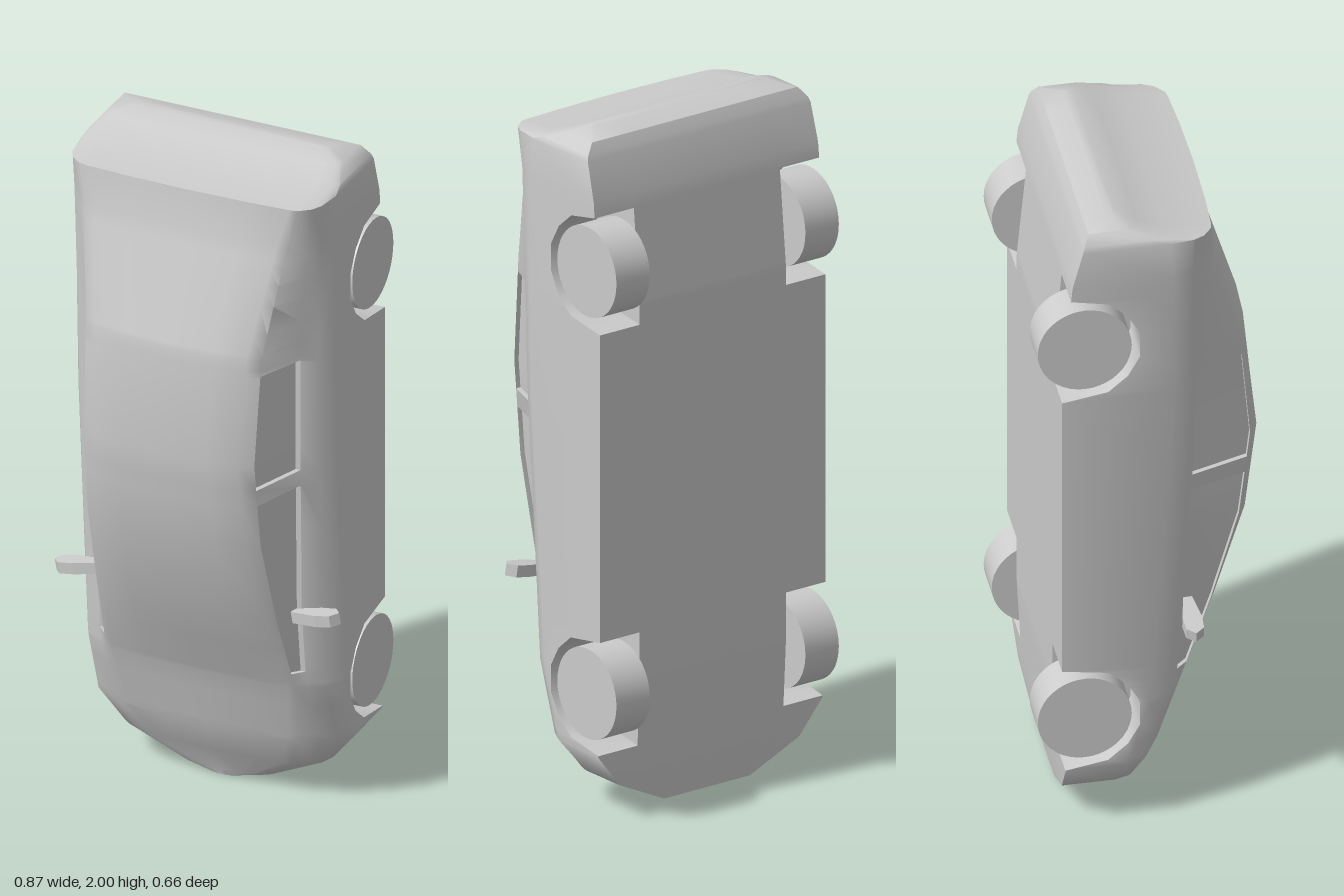
import * as THREE from 'three';
import { toCreasedNormals } from 'three/addons/utils/BufferGeometryUtils.js';

// Car posed nose-down: length runs along y (nose at 0), roof faces +z.
const WHEELS_Y = [0.372, 1.612], WHEEL_Z = -0.2;

// y, roof centre z, roof edge x z, beltline x z, widest side x z, floor z
const SECTIONS = [
  [0.0, -0.05, 0.02, -0.052, 0.04, -0.06, 0.05, -0.09, -0.165],
  [0.02, -0.045, 0.09, -0.05, 0.13, -0.065, 0.15, -0.1, -0.24],
  [0.1, 0, 0.2, -0.012, 0.28, -0.04, 0.315, -0.1, -0.25],
  [0.2, 0.05, 0.24, 0.03, 0.32, 0, 0.393, -0.08, -0.255],
  [0.4, 0.105, 0.27, 0.09, 0.315, 0.07, 0.395, -0.02, -0.265],
  [0.65, 0.215, 0.25, 0.19, 0.31, 0.09, 0.395, 0, -0.265],
  [0.915, 0.3, 0.23, 0.28, 0.315, 0.105, 0.395, 0.02, -0.265],
  [1.18, 0.33, 0.22, 0.315, 0.32, 0.12, 0.395, 0.04, -0.265],
  [1.5, 0.3, 0.23, 0.28, 0.325, 0.13, 0.395, 0.05, -0.265],
  [1.825, 0.2, 0.28, 0.185, 0.35, 0.13, 0.393, 0.05, -0.235],
  [1.935, 0.18, 0.31, 0.17, 0.365, 0.14, 0.39, 0.04, -0.205],
  [1.95, 0.04, 0.33, 0.035, 0.36, 0.02, 0.385, 0, -0.2],
  [1.98, -0.04, 0.32, -0.045, 0.345, -0.055, 0.36, -0.08, -0.185],
  [2.0, -0.1, 0.27, -0.1, 0.29, -0.1, 0.3, -0.105, -0.125],
];
// Wheel arch outline: distance from the wheel centre along y, then z
const ARCH = [[0.04, -0.046], [0.1, -0.08], [0.147, -0.135], [0.168, -0.262]];
const WINDOWS = [[0.45, 1.05], [1.1, 1.45]];

const mix = THREE.MathUtils.lerp;

function sectionAt(y) {
  let k = 0;
  while (k < SECTIONS.length - 2 && y > SECTIONS[k + 1][0]) k++;
  const a = SECTIONS[k], b = SECTIONS[k + 1], t = (y - a[0]) / (b[0] - a[0]);
  return a.map((v, i) => mix(v, b[i], t));
}

// Lower edge of the side skin, raised over the wheels
function sideBottom(y, floor) {
  for (const w of WHEELS_Y) {
    const d = Math.abs(y - w);
    if (d <= ARCH[0][0]) return ARCH[0][1];
    for (let i = 0; i < ARCH.length - 1; i++) {
      const [d0, z0] = ARCH[i], [d1, z1] = ARCH[i + 1];
      if (d < d1 - 1e-6) return mix(z0, z1, (d - d0) / (d1 - d0));
    }
  }
  return floor;
}

// Closed ring: roof centre, down the left side, floor centre, up the right side
function ringAt(y) {
  const [, zc, x2, z2, x4, z4, x6, z6, zb] = sectionAt(y);
  const zs = sideBottom(y, zb), xi = Math.min(0.257, x6 * 0.65);
  const half = [
    [0, zc],
    [x2 * 0.6, mix(zc, z2, 0.35)],
    [x2, z2],
    [mix(x2, x4, 0.4), mix(z2, z4, 0.13)],
    [x4, z4],
    [mix(x4, x6, 0.6), mix(z4, z6, 0.3)],
    [x6, z6],
    [x6, zs],
    [xi, zs],
    [xi, zb],
    [0, zb],
  ];
  const mirrored = half.slice(1, -1).reverse().map(([x, z]) => [-x, z]);
  return [...half, ...mirrored].map(([x, z]) => new THREE.Vector3(x, y, z));
}

// Triangle soup with creased smooth normals
class Skin {
  constructor() { this.pos = []; }
  tri(a, b, c) {
    const n = b.clone().sub(a).cross(c.clone().sub(a));
    if (n.length() > 1e-9) for (const p of [a, b, c]) this.pos.push(p.x, p.y, p.z);
  }
  quad(a, b, c, d) { this.tri(a, b, c); this.tri(c, b, d); }
  mesh(name, crease, material) {
    const g = new THREE.BufferGeometry();
    g.setAttribute('position', new THREE.Float32BufferAttribute(this.pos, 3));
    const m = new THREE.Mesh(toCreasedNormals(g, crease), material);
    m.name = name;
    return m;
  }
}

export function createModel() {
  const car = new THREE.Group();
  car.name = 'car';
  const grey = new THREE.MeshStandardMaterial({ color: 0xcccccc });
  const thin = new THREE.MeshStandardMaterial({ color: 0xcccccc, side: THREE.DoubleSide });

  // Stations along the car: sections, window ends and wheel arch points
  const ys = [...SECTIONS.map((s) => s[0]), ...WINDOWS.flat()];
  for (const w of WHEELS_Y) for (const [d] of ARCH) ys.push(w - d, w + d);
  ys.sort((a, b) => a - b);
  const rings = ys.map(ringAt), n = rings[0].length;

  // Body shell, with recessed side windows
  const body = new Skin(), glass = new Skin();
  const inset = (p) => new THREE.Vector3(p.x - Math.sign(p.x) * 0.015, p.y, p.z);
  for (let i = 0; i < ys.length - 1; i++) {
    const win = WINDOWS.find(([a, b]) => ys[i] >= a && ys[i + 1] <= b);
    for (let j = 0; j < n; j++) {
      const k = (j + 1) % n;
      const q = [rings[i][j], rings[i][k], rings[i + 1][j], rings[i + 1][k]];
      if (win && (j === 3 || j === n - 4)) {
        const [a, b, c, d] = q, [e, f, g, h] = q.map(inset);
        glass.quad(e, f, g, h);
        glass.quad(a, e, c, g);
        glass.quad(f, b, h, d);
        if (ys[i] === win[0]) glass.quad(a, b, e, f);
        if (ys[i + 1] === win[1]) glass.quad(g, h, c, d);
      } else body.quad(...q);
    }
  }
  // Small caps closing nose and tail
  for (const ring of [rings[0].slice().reverse(), rings[rings.length - 1]]) {
    const mid = new THREE.Vector3(0, ring[0].y, (ring[0].z + ring[10].z) / 2);
    ring.forEach((p, j) => body.tri(mid, p, ring[(j + 1) % n]));
  }
  car.add(body.mesh('body', 0.75, grey), glass.mesh('sideWindows', 0.4, thin));

  // Wheels
  const wheelGeo = toCreasedNormals(
    new THREE.CylinderGeometry(0.132, 0.132, 0.117, 40).rotateZ(Math.PI / 2), 0.6);
  // Door mirror outline in x and z, extruded along y
  const outline = [[0.29, 0.09], [0.37, 0.078], [0.415, 0.08], [0.435, 0.105],
    [0.415, 0.13], [0.37, 0.132], [0.29, 0.115]];
  const mirrorShape = new THREE.Shape(outline.map(([x, z]) => new THREE.Vector2(x - 0.36, z - 0.105)));
  const mirrorGeo = new THREE.ExtrudeGeometry(mirrorShape, { depth: 0.034, bevelEnabled: false });
  mirrorGeo.translate(0, 0, -0.017).rotateX(Math.PI / 2);
  // Extrusion turned so its outline lies in the x-z plane
  for (const side of [1, -1]) {
    const label = side > 0 ? 'left' : 'right';
    WHEELS_Y.forEach((y, i) => {
      const wheel = new THREE.Mesh(wheelGeo, grey);
      wheel.name = label + (i ? 'RearWheel' : 'FrontWheel');
      wheel.position.set(side * 0.331, y, WHEEL_Z);
      car.add(wheel);
    });
    const mirror = new THREE.Mesh(mirrorGeo, grey);
    mirror.name = label + 'Mirror';
    mirror.position.set(side * 0.36, 0.645, 0.105);
    mirror.rotation.set(0, side > 0 ? 0 : Math.PI, 0.17 * side);
    car.add(mirror);
  }
  return car;
}
